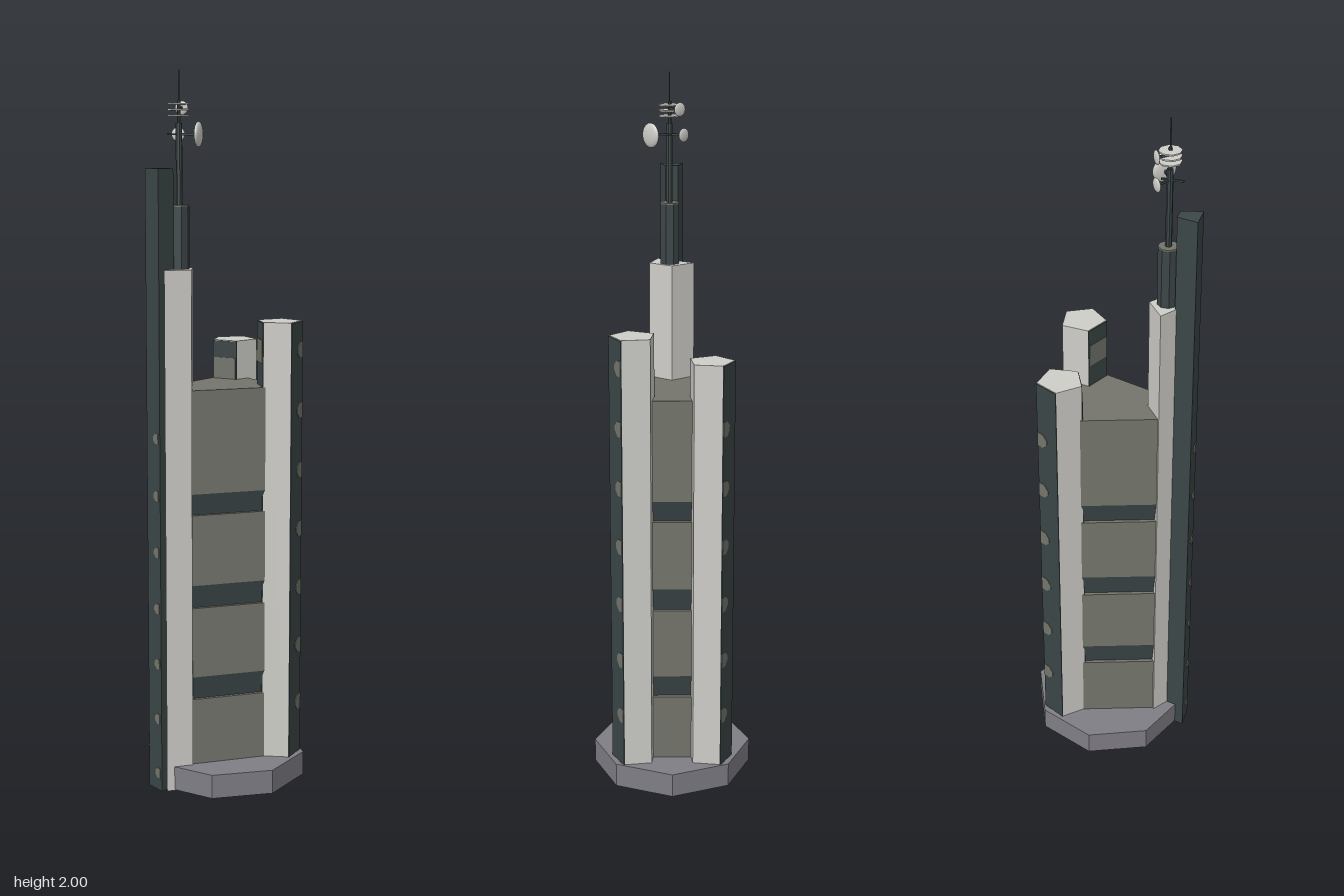
import * as THREE from 'three';

const mat = (name, color) => {
  const m = new THREE.MeshStandardMaterial({ color });
  m.name = name;
  return m;
};

export function createModel() {
  const model = new THREE.Group();
  model.name = 'tower';
  const stone = mat('pale stone', 0xcfcec9);
  const wall = mat('olive grey wall', 0x74756c);
  const dark = mat('dark slate', 0x3c4647);
  const plinth = mat('purple grey plinth', 0x807e86);

  const add = (name, geo, material, parent = model) => {
    const mesh = new THREE.Mesh(geo, material);
    mesh.name = name;
    parent.add(mesh);
    return mesh;
  };

  // Upright prism on an [x, z] outline; the foot can be scaled in for a sloped underside
  const prism = (name, outline, y0, y1, material, foot = 1) => {
    const shape = new THREE.Shape(outline.map(([x, z]) => new THREE.Vector2(x, -z)));
    const geo = new THREE.ExtrudeGeometry(shape, { depth: y1 - y0, bevelEnabled: false });
    geo.rotateX(-Math.PI / 2);
    const p = geo.attributes.position;
    for (let i = 0; i < p.count; i++) {
      if (p.getY(i) < 1e-5) p.setXYZ(i, p.getX(i) * foot, 0, p.getZ(i) * foot);
    }
    geo.computeVertexNormals();
    geo.translate(0, y0, 0);
    return add(name, geo, material);
  };

  const mirror = (half) => [...half, ...half.map(([x, z]) => [-x, z]).reverse()];

  // Thin vertical panel along the edge a-b, carrying half-hexagon lights at end b
  const panel = (name, a, b, y0, y1, material, lights = [], size = 0.036) => {
    const dx = b[0] - a[0], dz = b[1] - a[1], len = Math.hypot(dx, dz);
    const g = new THREE.Group();
    g.name = name;
    g.position.set((a[0] + b[0]) / 2, 0, (a[1] + b[1]) / 2);
    g.rotation.y = -Math.atan2(dz, dx);
    model.add(g);
    if (y1 > y0) {
      add(name + 'Face', new THREE.BoxGeometry(len, y1 - y0, 0.005).translate(0, (y0 + y1) / 2, 0), material, g);
    }
    const e = len / 2 - 0.001, h = size * 0.6;
    for (const y of lights) {
      const s = new THREE.Shape([[e, -h], [e, h], [e - size * 0.6, h], [e - size, h * 0.3], [e - size, -h * 0.3], [e - size * 0.6, -h]]
        .map(([u, v]) => new THREE.Vector2(u, v)));
      const geo = new THREE.ExtrudeGeometry(s, { depth: 0.008, bevelEnabled: false });
      add('balconyLight', geo.translate(0, y, -0.004), wall, g);
    }
  };
  const series = (n, step) => Array.from({ length: n }, (_, k) => 0.05 + step * k);

  // Octagonal base
  const octagon = Array.from({ length: 8 }, (_, i) => {
    const t = (i * Math.PI) / 4;
    return [0.228 * Math.sin(t), -0.008 + 0.228 * Math.cos(t)];
  });
  prism('base', octagon, 0.002, 0.07, plinth);

  // Main body: four tiers, each upper one resting on a dark sloped band
  const body = mirror([[0.1, -0.126], [0.125, -0.06], [0.055, 0.155]]);
  const tiers = [[0.01, 0.26], [0.325, 0.525], [0.59, 0.79], [0.85, 1.14]];
  tiers.forEach(([y0, y1], i) => {
    prism('bodyTier', body, y0, y1, wall);
    if (i) prism('darkBand', body, tiers[i - 1][1], y0, dark, 0.9);
  });

  // Two rear pentagonal columns of different heights
  for (const [s, top, n] of [[1, 1.32, 8], [-1, 1.25, 7]]) {
    const c = [[0.059, -0.161], [0.136, -0.173], [0.171, -0.107], [0.12, -0.052], [0.05, -0.084]]
      .map(([x, z]) => [s * x, z]);
    prism('rearColumn', c, 0, top, stone);
    panel('outerStrip', c[2], c[1], 0.07, top - 0.002, dark, series(n, 0.17));
    panel('innerStrip', c[4], c[3], 0.07, top - 0.002, dark);
    const patch = add('innerWindow', new THREE.BoxGeometry(0.07, 0.065, 0.008), wall);
    patch.position.set(s * 0.085, top - 0.082, -0.068);
    patch.rotation.y = -s * Math.atan2(0.032, 0.07);
  }

  // Front column with the dark fin and its stepped top
  prism('frontColumn', mirror([[0.039, 0.222], [0.063, 0.15], [0, 0.102]]).slice(0, 5), 0, 1.47, stone);
  prism('frontFin', mirror([[0.032, 0.235], [0.018, 0.177]]), 0, 1.74, dark);
  panel('finLights', [-0.026, 0.233], [0.026, 0.233], 0, 0, dark, series(7, 0.16), 0.024);

  // Antenna
  const ax = 0.006, az = 0.15;
  const rod = (name, r, y0, y1, material, sides = 8) => {
    const geo = new THREE.CylinderGeometry(r, r, y1 - y0, sides).rotateY(Math.PI / 8);
    const m = add(name, geo.toNonIndexed(), material);
    m.geometry.computeVertexNormals();
    m.position.set(ax, (y0 + y1) / 2, az);
    return m;
  };
  rod('mastFoot', 0.028, 1.46, 1.638, dark);
  rod('mastFootCap', 0.028, 1.638, 1.642, wall);
  rod('mast', 0.009, 1.64, 1.86, dark);
  rod('upperMast', 0.005, 1.86, 1.92, dark);
  rod('spire', 0.002, 1.92, 2, dark);
  for (const y of [1.88, 1.895, 1.91]) rod('antennaRing', 0.031, y - 0.002, y + 0.002, stone);

  // Dishes on horizontal arms
  const dish = (name, x, y, z, r, nx, nz) => {
    const m = add(name, new THREE.SphereGeometry(r, 16, 10).scale(1, 1, 0.28), stone);
    m.position.set(x, y, z);
    m.rotation.y = Math.atan2(nx, nz);
    const d = Math.hypot(x - ax, z - az);
    const arm = add('dishArm', new THREE.BoxGeometry(0.006, 0.006, d), dark);
    arm.position.set((x + ax) / 2, y, (z + az) / 2);
    arm.rotation.y = Math.atan2(x - ax, z - az);
  };
  dish('largeDish', 0.058, 1.83, 0.122, 0.034, 0.77, -0.64);
  dish('smallDish', -0.033, 1.83, 0.126, 0.019, -0.7, -0.7);
  dish('upperDish', -0.022, 1.9, 0.122, 0.019, -0.6, -0.8);
  const strut = add('crossArm', new THREE.BoxGeometry(0.005, 0.005, 0.06), dark);
  strut.position.set(ax, 1.83, 0.157);

  return model;
}
